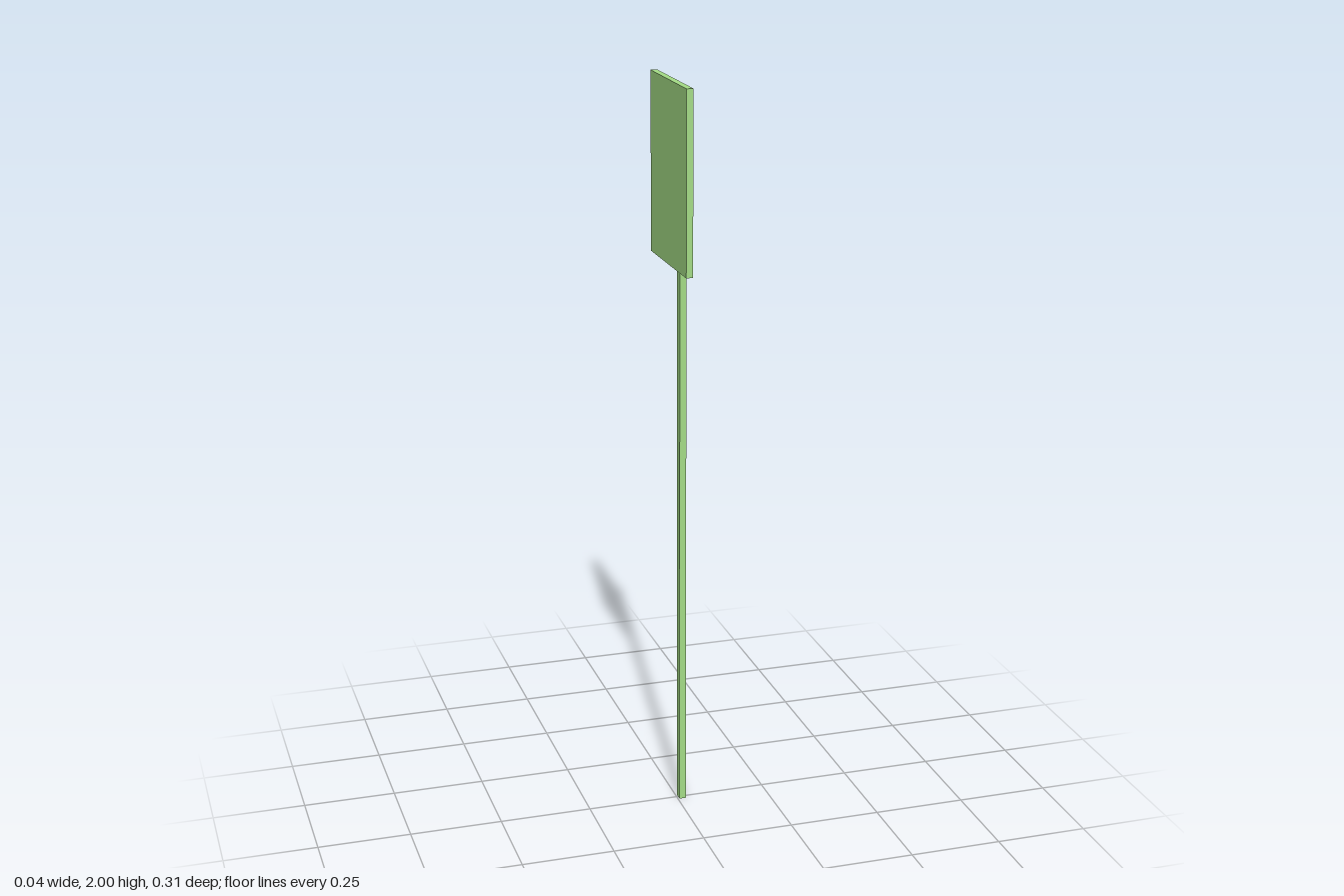
import * as THREE from 'three';

export function createModel() {
  const model = new THREE.Group();
  model.name = 'signpost';
  const green = new THREE.MeshStandardMaterial({ color: 0xa4dc86, flatShading: true });

  // Box placed by its centre x and its bottom and top heights
  const addBox = (name, width, depth, x, bottom, top) => {
    const mesh = new THREE.Mesh(new THREE.BoxGeometry(width, top - bottom, depth), green);
    mesh.name = name;
    mesh.position.set(x, (bottom + top) / 2, 0);
    model.add(mesh);
  };

  // Upright post, standing just clear of the board
  addBox('post', 0.018, 0.027, 0.0135, 0, 1.847);
  // Sign board facing sideways
  addBox('signBoard', 0.018, 0.313, -0.0135, 1.525, 2);

  return model;
}
